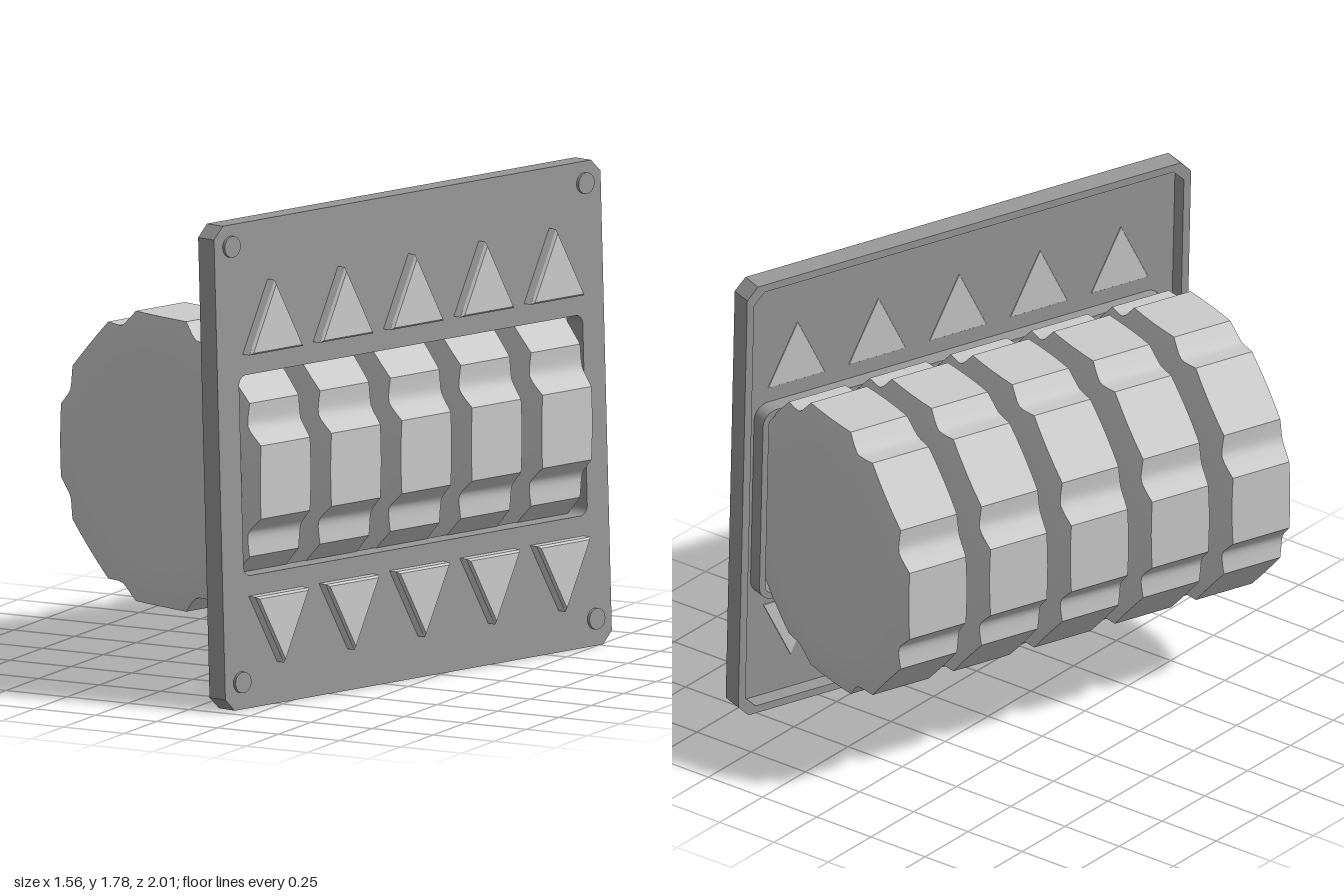
import * as THREE from 'three';
import { toCreasedNormals } from 'three/addons/utils/BufferGeometryUtils.js';

const grey = new THREE.MeshStandardMaterial({ color: 0xcccccc });
const darkGrey = new THREE.MeshStandardMaterial({ color: 0x999999 });

const PITCH = 0.346; // spacing of the dials and their buttons
const columns = [-2, -1, 0, 1, 2].map(i => i * PITCH);
const CENTRE_Y = -0.0375; // height of the window and the dial axis
const LEAN = 0.036;
const PLATE_DEPTH = 0.085, PANEL_DEPTH = 0.024;

function addMesh(parent, name, geometry, material = grey) {
  const mesh = new THREE.Mesh(geometry, material);
  mesh.name = name;
  parent.add(mesh);
  return mesh;
}

const polygon = pts => pts.map(([x, y]) => new THREE.Vector2(x, y));

// Rounded window outline, grown outwards by the given margin
function windowOutline(target, margin) {
  const w = 0.845 + margin, h = 0.368 + margin, r = 0.035 + margin, c = CENTRE_Y;
  target.absarc(w - r, c + h - r, r, 0, Math.PI / 2);
  target.absarc(-w + r, c + h - r, r, Math.PI / 2, Math.PI);
  target.absarc(-w + r, c - h + r, r, Math.PI, Math.PI * 1.5);
  target.absarc(w - r, c - h + r, r, Math.PI * 1.5, Math.PI * 2);
  target.closePath();
  return target;
}

// Rectangle with cut corners, shrunk by the given inset
function plateOutline(inset) {
  const w = 0.95 - inset, h = 0.89 - inset, c = 0.045;
  return polygon([
    [-w + c, -h], [w - c, -h], [w, -h + c], [w, h - c],
    [w - c, h], [-w + c, h], [-w, h - c], [-w, -h + c],
  ]);
}

function extrude(shape, hole, z, depth) {
  shape.holes.push(hole);
  return new THREE.ExtrudeGeometry(shape, { depth, bevelEnabled: false, curveSegments: 8 })
    .translate(0, 0, z);
}

// Triangular button with a slightly bevelled face, flush with the panel's back
function buttonGeometry(base, tip) {
  const bevel = 0.01, front = 0.046, back = -PANEL_DEPTH - 0.002;
  const shape = new THREE.Shape(polygon([[-0.132, base], [0.132, base], [0, tip]]));
  return new THREE.ExtrudeGeometry(shape, {
    depth: front - back - 2 * bevel, bevelSize: bevel, bevelThickness: bevel,
    bevelOffset: -bevel, bevelSegments: 1,
  }).translate(0, 0, back + bevel);
}

// Outline of a dial: eight flats with a soft V notch between each pair
function dialOutline() {
  const R = 0.535, half = 0.135, steps = 8;
  const cornerR = Math.hypot(R, half), spread = Math.PI / 8 - Math.atan2(half, R);
  const halfChord = cornerR * Math.sin(spread), chordR = cornerR * Math.cos(spread);
  const soft = 0.2, pts = [];
  const add = (a, r, q) => pts.push([
    r * Math.cos(a) - q * Math.sin(a), r * Math.sin(a) + q * Math.cos(a)]);
  for (let k = 0; k < 8; k++) {
    const a = k * Math.PI / 4;
    for (const q of [-0.07, 0, 0.07]) add(a, R, q);
    for (let s = 0; s <= steps; s++) {
      const t = -1 + 2 * s / steps;
      const dip = 0.038 * (Math.hypot(1, soft) - Math.hypot(t, soft));
      add(a + Math.PI / 8, chordR - dip, halfChord * t);
    }
  }
  return pts;
}

// Dial body: the outline lofted along x, its ends turned to a soft round dome
function dialGeometry() {
  const outline = dialOutline(), n = outline.length;
  const dome = r => 0.141 - 0.9 * Math.max(0, r - 0.4) ** 2;
  const scales = [0, 0.4, 0.75, 0.82, 0.88, 0.94, 1];
  const rings = [...scales.map(s => [-1, s]), ...scales.slice().reverse().map(s => [1, s])];
  const pos = [], index = [];
  for (const [end, s] of rings) {
    for (const [y, z] of outline) pos.push(end * dome(s * Math.hypot(y, z)), y * s, z * s);
  }
  for (let i = 0; i < rings.length - 1; i++) {
    for (let j = 0; j < n; j++) {
      const a = i * n + j, b = i * n + (j + 1) % n, c = b + n, d = a + n;
      if (rings[i][1] > 0) index.push(a, b, c);
      if (rings[i + 1][1] > 0) index.push(a, c, d);
      else index.splice(-3, 3, a, b, d);
    }
  }
  const g = new THREE.BufferGeometry();
  g.setAttribute('position', new THREE.Float32BufferAttribute(pos, 3));
  g.setIndex(index);
  return toCreasedNormals(g, 0.5);
}

export function createModel() {
  const model = new THREE.Group();
  model.name = 'dialPanel';

  // Everything is built facing +z, then turned and leaned back
  const panel = new THREE.Group();
  panel.name = 'panel';
  panel.rotation.order = 'YXZ';
  panel.rotation.set(-LEAN, THREE.MathUtils.degToRad(70.6), 0);
  panel.position.set(0.434, 0.893, 0.09);
  model.add(panel);

  // Face plate, hollow at the back: thin panel, outer rim and window collar
  const rimDepth = PLATE_DEPTH - PANEL_DEPTH;
  addMesh(panel, 'facePlate', extrude(new THREE.Shape(plateOutline(0)),
    windowOutline(new THREE.Path(), 0), -PANEL_DEPTH, PANEL_DEPTH), darkGrey);
  addMesh(panel, 'plateRim', extrude(new THREE.Shape(plateOutline(0)),
    new THREE.Path(plateOutline(0.03)), -PLATE_DEPTH, rimDepth), darkGrey);
  addMesh(panel, 'windowCollar', extrude(windowOutline(new THREE.Shape(), 0.025),
    windowOutline(new THREE.Path(), 0), -PLATE_DEPTH, rimDepth), darkGrey);

  // Corner studs
  const stud = new THREE.CylinderGeometry(0.039, 0.039, 0.03, 24).rotateX(Math.PI / 2);
  for (const x of [-0.87, 0.87]) for (const y of [-0.79, 0.81]) {
    addMesh(panel, 'cornerStud', stud, darkGrey).position.set(x, y, -0.003);
  }

  // Dials with a triangular button above and below each
  const dial = dialGeometry();
  const up = buttonGeometry(0.408, 0.668), down = buttonGeometry(-0.736, -0.48);
  down.dispose();
  const downButton = buttonGeometry(-0.48, -0.738);
  for (const x of columns) {
    addMesh(panel, 'upButton', up).position.x = x;
    addMesh(panel, 'downButton', downButton).position.x = x;
    const wheel = addMesh(panel, 'dial', dial);
    wheel.position.set(x, CENTRE_Y, -0.465);
    wheel.rotation.x = LEAN; // the flats stay level
  }
  return model;
}
